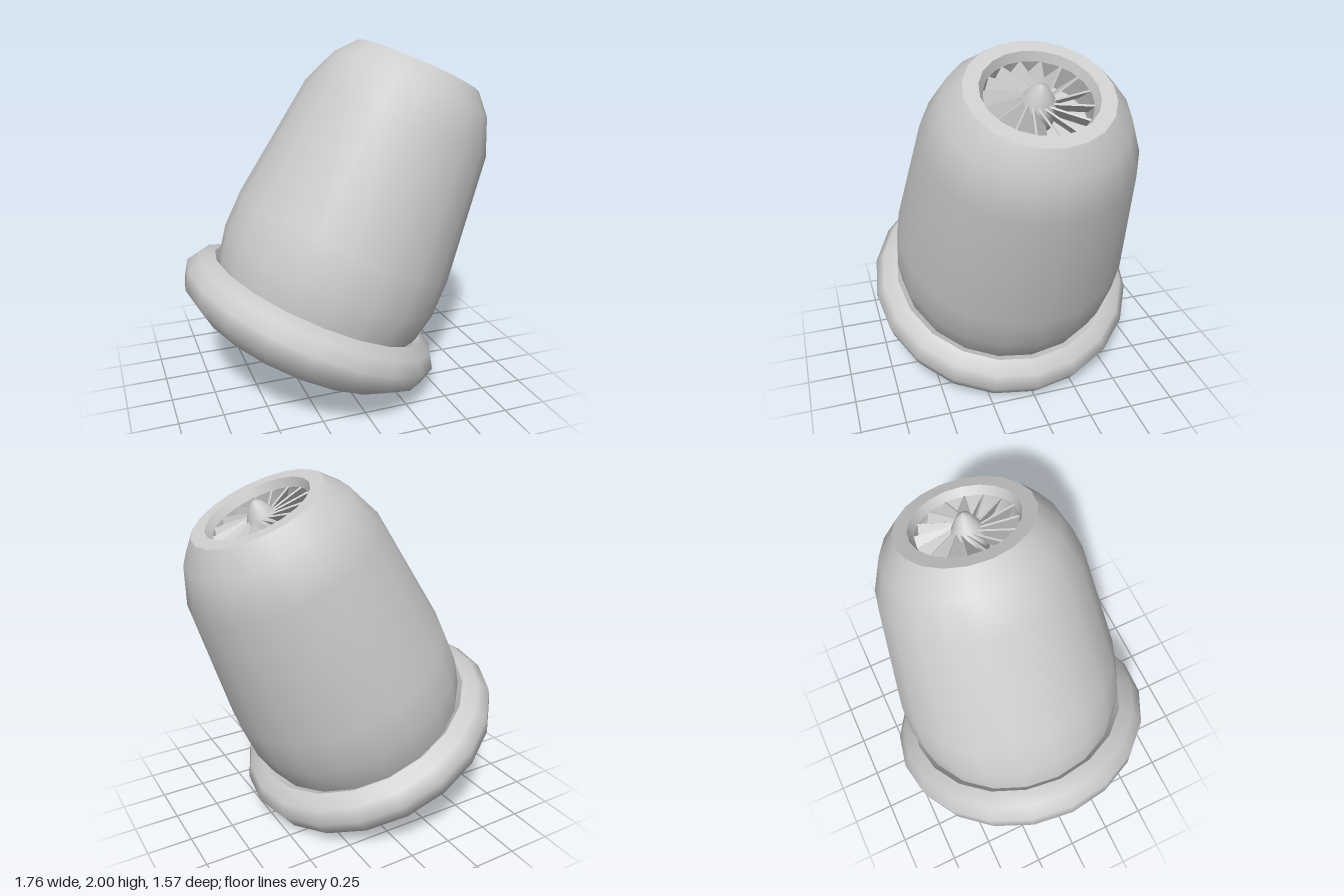
import * as THREE from 'three';

const SIDES = 20;
const material = new THREE.MeshStandardMaterial({ color: 0xcccccc, side: THREE.DoubleSide });

// Revolved part from [radius, height] pairs; upward profiles face outward, downward ones inward
function lathe(name, profile) {
  const points = profile.map(([r, y]) => new THREE.Vector2(r, y));
  const mesh = new THREE.Mesh(new THREE.LatheGeometry(points, SIDES), material);
  mesh.name = name;
  return mesh;
}

export function createModel() {
  const model = new THREE.Group();
  model.name = 'tiltedTurbine';

  // Engine is built upright, then leaned over
  const engine = new THREE.Group();
  engine.name = 'engine';
  engine.rotation.z = THREE.MathUtils.degToRad(-25);
  engine.position.set(-0.294, 0.132, 0);
  model.add(engine);

  // Housing and intake rim
  engine.add(
    lathe('housing', [[0.6, 0.38], [0.63, 0.455], [0.66, 0.62], [0.655, 0.84], [0.557, 1.57], [0.47, 1.775], [0.37, 1.887]]),
    lathe('intakeRim', [[0.37, 1.887], [0.292, 1.887]]),
    lathe('intakeLip', [[0.292, 1.887], [0.27, 1.84]]),
    lathe('intakeDuct', [[0.27, 1.84], [0.27, 1.7]]),
  );

  // Heavy rounded collar around the exhaust end
  engine.add(
    lathe('collar', [[0.628, 0.147], [0.761, 0.241], [0.787, 0.343], [0.742, 0.415], [0.659, 0.457]]),
    lathe('collarInnerSlope', [[0.659, 0.457], [0.59, 0.4]]),
    lathe('collarUnderside', [[0.5, 0.147], [0.628, 0.147]]),
    lathe('exhaustLip', [[0.475, 0.17], [0.5, 0.147]]),
    lathe('exhaustWall', [[0.475, 0.32], [0.475, 0.17]]),
    lathe('exhaustBulkhead', [[0, 0.32], [0.475, 0.32]]),
  );

  // Fan: pitched blades around a pointed hub
  const fan = new THREE.Group();
  fan.name = 'fan';
  fan.position.y = 1.79;
  engine.add(fan);

  const bladeCount = 16;
  const bladeGeometry = new THREE.BoxGeometry(0.2, 0.13, 0.01);
  for (let i = 0; i < bladeCount; i++) {
    const arm = new THREE.Group();
    arm.name = 'bladeArm';
    arm.rotation.y = ((i + 0.5) / bladeCount) * Math.PI * 2;
    const blade = new THREE.Mesh(bladeGeometry, material);
    blade.name = 'fanBlade';
    blade.position.x = 0.165;
    blade.rotation.x = 0.6;
    arm.add(blade);
    fan.add(arm);
  }
  fan.add(
    lathe('hub', [[0, -0.09], [0.09, -0.09], [0.095, 0], [0.085, 0.04], [0.035, 0.12], [0, 0.138]]),
    lathe('fanBackplate', [[0.27, -0.09], [0, -0.09]]),
  );
  return model;
}
